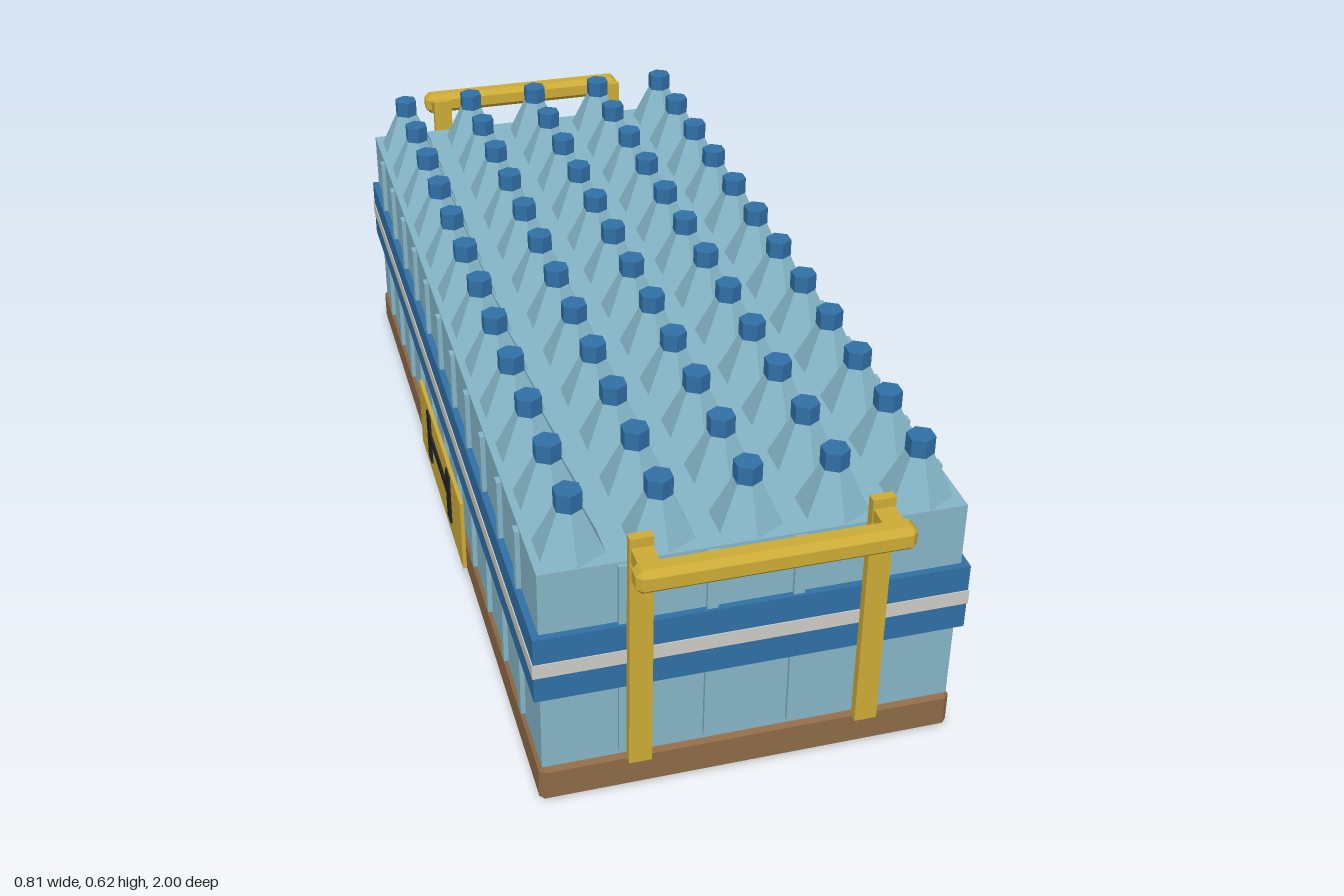
import * as THREE from 'three';
import { ConvexGeometry } from 'three/addons/geometries/ConvexGeometry.js';

const mat = (name, color) => {
  const m = new THREE.MeshStandardMaterial({ color });
  m.name = name;
  return m;
};

// Box whose edges are all cut by a small chamfer
function chamferBox(w, h, d, c) {
  const pts = [];
  for (const sx of [-1, 1]) for (const sy of [-1, 1]) for (const sz of [-1, 1]) {
    const x = w / 2, y = h / 2, z = d / 2;
    pts.push(new THREE.Vector3(sx * x, sy * (y - c), sz * (z - c)));
    pts.push(new THREE.Vector3(sx * (x - c), sy * y, sz * (z - c)));
    pts.push(new THREE.Vector3(sx * (x - c), sy * (y - c), sz * z));
  }
  return new ConvexGeometry(pts);
}

export function createModel() {
  const root = new THREE.Group();
  root.name = 'bottlePack';

  const water = mat('bottle light blue', 0x85b5c7);
  const blue = mat('band blue', 0x3070a6);
  const white = mat('stripe pale grey', 0xcccbc5);
  const gold = mat('handle gold', 0xcbab36);
  const brown = mat('tray brown', 0x8e6a46);
  const black = mat('symbol black', 0x222226);
  water.flatShading = blue.flatShading = true;

  const add = (name, geo, material, x, y, z, parent = root) => {
    const m = new THREE.Mesh(geo, material);
    m.name = name;
    m.position.set(x, y, z);
    parent.add(m);
    return m;
  };
  const box = (name, w, h, d, material, x, y, z, parent) =>
    add(name, new THREE.BoxGeometry(w, h, d), material, x, y, z, parent);

  // Tray and the packed block of bottle bodies
  add('tray', chamferBox(0.776, 0.08, 1.786, 0.01), brown, 0, 0.04, 0);
  box('bottleBlock', 0.764, 0.425, 1.77, water, 0, 0.2905, 0);

  // Upright ribs at the seams between bottles
  const dx = 0.156, dz = 0.149;
  for (const s of [-1, 1]) {
    for (let i = -1.5; i <= 1.5; i++)
      box('endRib', 0.02, 0.408, 0.02, water, i * dx, 0.295, s * 0.883);
    for (let k = -5; k <= 5; k++)
      box('sideRib', 0.02, 0.408, 0.02, water, s * 0.381, 0.295, k * dz);
  }

  // Wrapping band with its pale centre stripe
  box('band', 0.79, 0.135, 1.796, blue, 0, 0.31, 0);
  box('bandStripe', 0.794, 0.029, 1.8, white, 0, 0.31, 0);

  // Bottle shoulders and caps
  const shoulder = new THREE.CylinderGeometry(0.025, 0.065, 0.082, 6);
  const cap = new THREE.CylinderGeometry(0.026, 0.026, 0.035, 6);
  for (let i = -2; i <= 2; i++) for (let k = -5.5; k <= 5.5; k++) {
    add('bottleShoulder', shoulder, water, i * dx, 0.544, k * dz);
    add('bottleCap', cap, blue, i * dx, 0.6025, k * dz);
  }

  // Carrying handle at each end
  for (const s of [-1, 1]) {
    const handle = new THREE.Group();
    handle.name = s > 0 ? 'frontHandle' : 'backHandle';
    for (const x of [-0.211, 0.211]) {
      box('handlePost', 0.042, 0.49, 0.018, gold, x, 0.325, s * 0.908, handle);
      box('handleArm', 0.038, 0.026, 0.07, gold, x, 0.539, s * 0.945, handle);
    }
    add('handleBar', chamferBox(0.484, 0.046, 0.045, 0.011), gold, 0, 0.538, s * 0.9775, handle);
    root.add(handle);
  }

  // Side plates carrying a bar symbol
  for (const s of [-1, 1]) {
    const plate = new THREE.Group();
    plate.name = s > 0 ? 'leftPlate' : 'rightPlate';
    box('plate', 0.008, 0.162, 0.486, gold, s * 0.398, 0.121, 0, plate);
    for (const z of [-0.114, 0.114])
      box('symbolUpright', 0.005, 0.118, 0.036, black, s * 0.4035, 0.134, z, plate);
    box('symbolCrossbar', 0.005, 0.022, 0.2, black, s * 0.4035, 0.141, 0, plate);
    root.add(plate);
  }
  return root;
}
